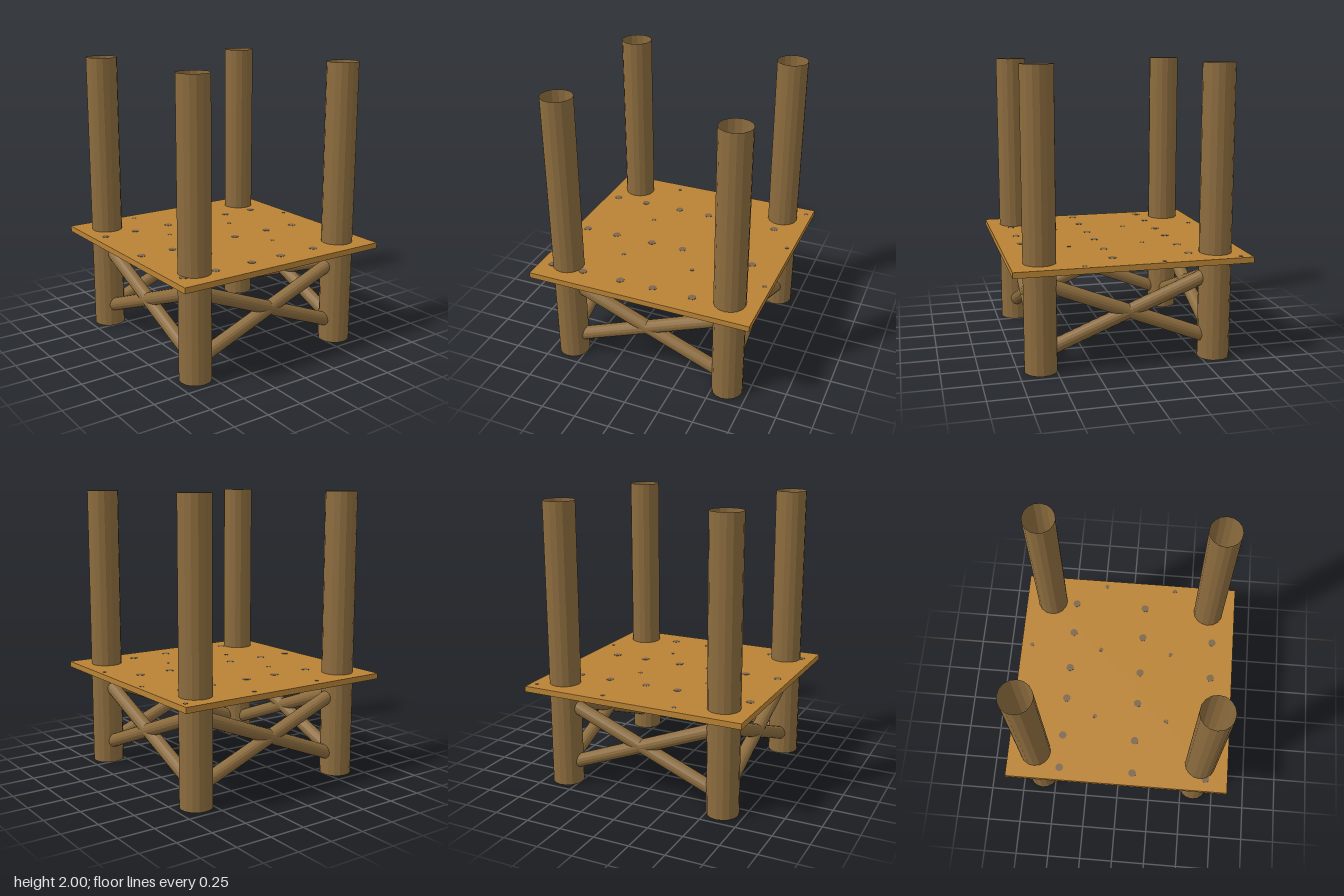
import * as THREE from 'three';

export function createModel() {
  const model = new THREE.Group();
  model.name = 'postPlatform';

  const log = new THREE.MeshStandardMaterial({ color: 0x8c6c3e, flatShading: true, side: THREE.DoubleSide });
  log.name = 'log brown';
  const plank = new THREE.MeshStandardMaterial({ color: 0xba8335 });
  plank.name = 'deck orange brown';
  const nail = new THREE.MeshStandardMaterial({ color: 0x7c674e });
  nail.name = 'nail grey';

  function add(geometry, material, name, x, y, z, parent = model) {
    const mesh = new THREE.Mesh(geometry, material);
    mesh.name = name;
    mesh.position.set(x, y, z);
    parent.add(mesh);
    return mesh;
  }

  // Four hollow corner posts
  const postGeometry = new THREE.CylinderGeometry(0.11, 0.11, 2, 16, 1, true);
  for (const x of [-0.6, 0.6]) {
    for (const z of [-0.6, 0.6]) add(postGeometry, log, 'post', x, 1, z);
  }

  // Crossed braces on each of the four sides
  const rise = 0.39, span = 0.98;
  const braceGeometry = new THREE.CylinderGeometry(0.048, 0.048, 1.19, 16, 1, true);
  for (let side = 0; side < 4; side++) {
    const cross = new THREE.Group();
    cross.name = 'crossBrace';
    cross.rotation.y = side * Math.PI / 2;
    for (const dir of [-1, 1]) {
      const brace = add(braceGeometry, log, 'brace', 0, 0.363, 0.6, cross);
      brace.rotation.z = dir * Math.atan2(span, rise);
    }
    model.add(cross);
  }

  // Deck
  const deckTop = 0.735, deckBottom = 0.695;
  add(new THREE.BoxGeometry(1.6, deckTop - deckBottom, 1.6), plank, 'deck', 0, (deckTop + deckBottom) / 2, 0);

  // Nail heads repeat over a 3 x 3 grid; the underside pattern has x and z swapped
  const pitch = 0.528;
  const bigNail = new THREE.CylinderGeometry(0.028, 0.028, 0.004, 12);
  const smallNail = new THREE.CylinderGeometry(0.016, 0.016, 0.004, 8);
  const pattern = [[-0.708, -0.415, bigNail], [-0.466, -0.415, bigNail], [-0.302, -0.722, smallNail]];
  for (let i = 0; i < 3; i++) {
    for (let j = 0; j < 3; j++) {
      for (const [x0, z0, geometry] of pattern) {
        const u = x0 + i * pitch, v = z0 + j * pitch;
        add(geometry, nail, 'nailHead', u, deckTop, v);
        add(geometry, nail, 'nailHeadUnder', v, deckBottom, u);
      }
    }
  }

  return model;
}
